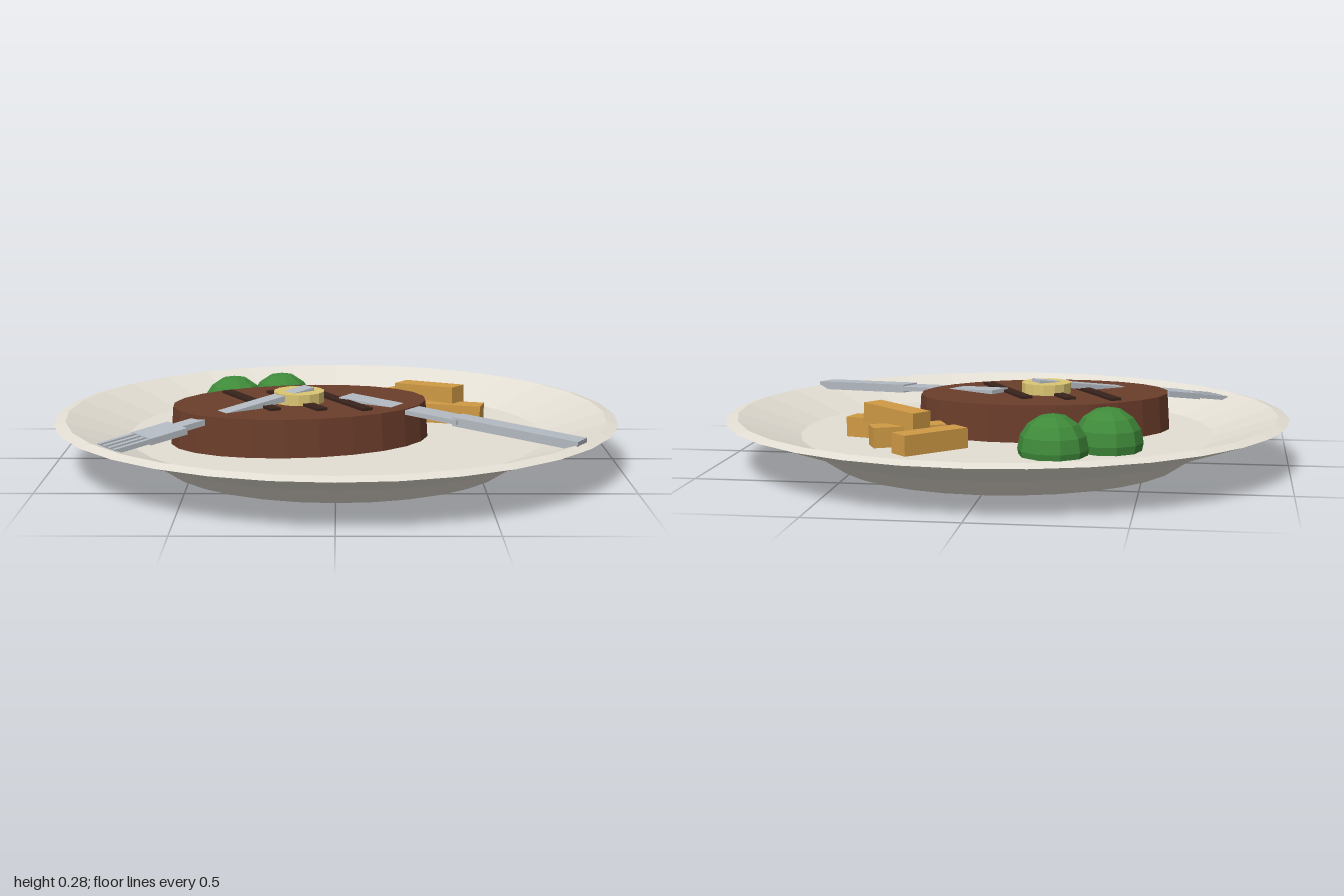
import * as THREE from 'three';

const mat = (color) => new THREE.MeshStandardMaterial({ color, flatShading: true });
const plateMat = mat(0xe4dfd4), meatMat = mat(0x6b3d2b), charMat = mat(0x38231c);
const butterMat = mat(0xdcc673), greenMat = mat(0x3f8a3a), fryMat = mat(0xd09a45), metalMat = mat(0xb4bac2);

function add(parent, name, geometry, material, x = 0, y = 0, z = 0, yaw = 0, pitch = 0) {
  const mesh = new THREE.Mesh(geometry, material);
  mesh.name = name;
  mesh.position.set(x, y, z);
  mesh.rotation.set(0, yaw, pitch);
  parent.add(mesh);
  return mesh;
}

// Box from s0 to s1 along x, with its top at y = top
function bar(parent, name, s0, s1, width, thick, top = 0, z = 0) {
  return add(parent, name, new THREE.BoxGeometry(s1 - s0, thick, width), metalMat, (s0 + s1) / 2, top - thick / 2, z);
}

function cutlery(name, x, y, z, yaw, pitch) {
  const g = new THREE.Group();
  g.name = name;
  g.position.set(x, y, z);
  g.rotation.set(0, yaw, pitch);
  return g;
}

export function createModel() {
  const root = new THREE.Group();
  root.name = 'steakDinner';

  // Deep plate with foot, flared wall, sloping lip and flat floor
  const profile = [[0, 0], [0.62, 0], [0.72, 0.067], [1, 0.165], [0.96, 0.176], [0.74, 0.1], [0, 0.1]];
  add(root, 'plate', new THREE.LatheGeometry(profile.map(([r, y]) => new THREE.Vector2(r, y)), 32), plateMat);

  // Oval steak with three grill marks
  const steak = add(root, 'steak', new THREE.CylinderGeometry(0.98, 1, 0.14, 24), meatMat, -0.125, 0.16, 0.095, 0.23);
  steak.scale.set(0.46, 1, 0.315);
  for (const x of [-0.3, -0.14, 0.015]) {
    add(root, 'grillMark', new THREE.BoxGeometry(0.04, 0.02, 0.38), charMat, x, 0.229, 0.093, 0.52);
  }

  // Butter pat
  add(root, 'butter', new THREE.CylinderGeometry(0.09, 0.09, 0.04, 14), butterMat, -0.13, 0.248, 0.09);

  // Two round greens
  for (const [x, y, z] of [[-0.385, 0.128, -0.31], [-0.21, 0.12, -0.42]]) {
    add(root, 'green', new THREE.SphereGeometry(0.12, 10, 8), greenMat, x, y, z);
  }

  // Thick-cut fries, one lying across the others
  const fries = [
    [0.205, 0.138, -0.42, 0.785, 0],
    [0.305, 0.135, -0.305, 0.43, 0],
    [0.415, 0.135, -0.18, -0.275, 0],
    [0.35, 0.19, -0.27, -0.635, 0.04],
  ];
  for (const [x, y, z, yaw, pitch] of fries) {
    add(root, 'fry', new THREE.BoxGeometry(0.255, 0.07, 0.08), fryMat, x, y, z, yaw, pitch);
  }

  // Fork, handle resting on the butter and tines on the rim
  const fork = cutlery('fork', -0.095, 0.28, 0.07, -2.525, -0.138);
  bar(fork, 'forkHandle', 0, 0.55, 0.06, 0.02);
  bar(fork, 'forkHead', 0.54, 0.68, 0.13, 0.022, 0.001);
  for (let i = 0; i < 4; i++) bar(fork, 'forkTine', 0.67, 0.81, 0.017, 0.016, -0.001, (i - 1.5) * 0.035);
  root.add(fork);

  // Knife, blade lying through the steak edge and handle on the rim
  const knife = cutlery('knife', 0.035, 0.244, 0.05, -0.56, -0.066);
  bar(knife, 'knifeBlade', 0, 0.47, 0.09, 0.016);
  bar(knife, 'knifeHandle', 0.45, 0.91, 0.075, 0.03, 0.006);
  root.add(knife);

  return root;
}
